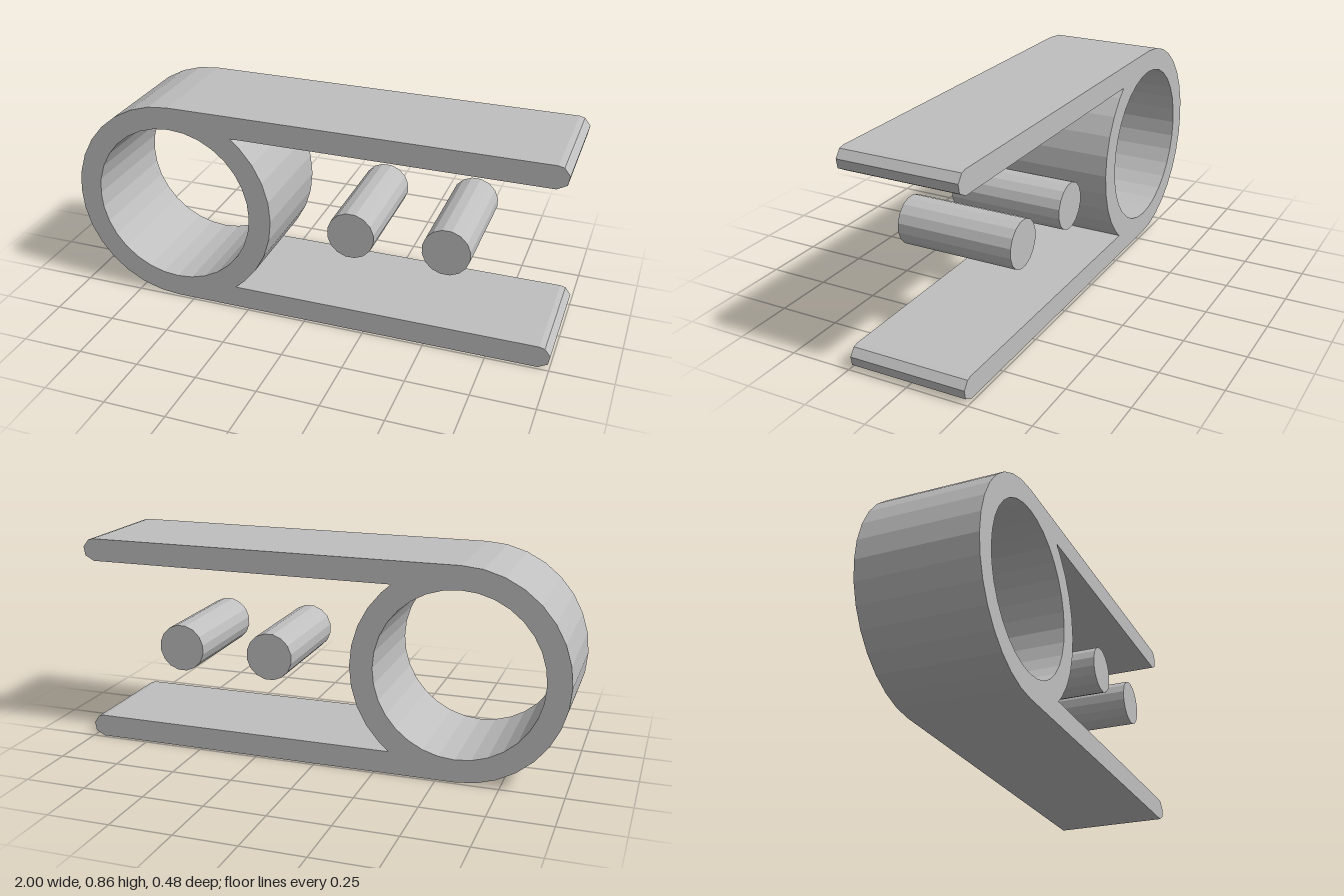
import * as THREE from 'three';

const DEPTH = 0.476, MID_Y = 0.429;
const RING_X = -0.573, RING_R = 0.428, BORE_R = 0.335;
const ARM_R = 0.046, TIP_X = 0.955;
const rad = THREE.MathUtils.degToRad;

// Points on a circle at the given angles in degrees
const arc = (cx, cy, r, angles) => angles.map(
  a => new THREE.Vector2(cx + r * Math.cos(rad(a)), cy + r * Math.sin(rad(a))));

// Evenly stepped angles, both ends included
const steps = (from, to, n) => Array.from({ length: n + 1 }, (_, i) => from + (to - from) * i / n);

// Solid of constant depth, centred on z = 0
function slab(shape) {
  return new THREE.ExtrudeGeometry(shape, { depth: DEPTH, bevelEnabled: false }).translate(0, 0, -DEPTH / 2);
}

export function createModel() {
  const group = new THREE.Group();
  const grey = new THREE.MeshStandardMaterial({ color: 0xbfbfbf, flatShading: true });
  grey.name = 'plain grey';

  // Ring with two parallel arms, drawn as one outline
  const armY = RING_R - ARM_R;
  const innerY = armY - ARM_R;
  const meetX = RING_X + Math.sqrt(RING_R ** 2 - innerY ** 2);
  const tip = [-90, -34, 13, 62, 90];
  const outline = [
    ...arc(RING_X, MID_Y, RING_R, steps(90, 270, 16)),
    ...arc(TIP_X, MID_Y - armY, ARM_R, tip),
    new THREE.Vector2(meetX, MID_Y - innerY),
    ...arc(RING_X, MID_Y, RING_R, steps(-45, 45, 8)),
    new THREE.Vector2(meetX, MID_Y + innerY),
    ...arc(TIP_X, MID_Y + armY, ARM_R, tip),
  ];
  const clipShape = new THREE.Shape(outline);
  clipShape.holes.push(new THREE.Path(arc(RING_X, MID_Y, BORE_R, steps(360, 11.25, 31))));
  const clip = new THREE.Mesh(slab(clipShape), grey);
  clip.name = 'ringWithArms';
  group.add(clip);

  // Two loose pins between the arms
  [0.19, 0.572].forEach((x, i) => {
    const profile = new THREE.Shape(arc(x, MID_Y + 0.001, 0.096, steps(11.25, 348.75, 15)));
    const pin = new THREE.Mesh(slab(profile), grey);
    pin.name = i ? 'outerPin' : 'innerPin';
    group.add(pin);
  });

  return group;
}
